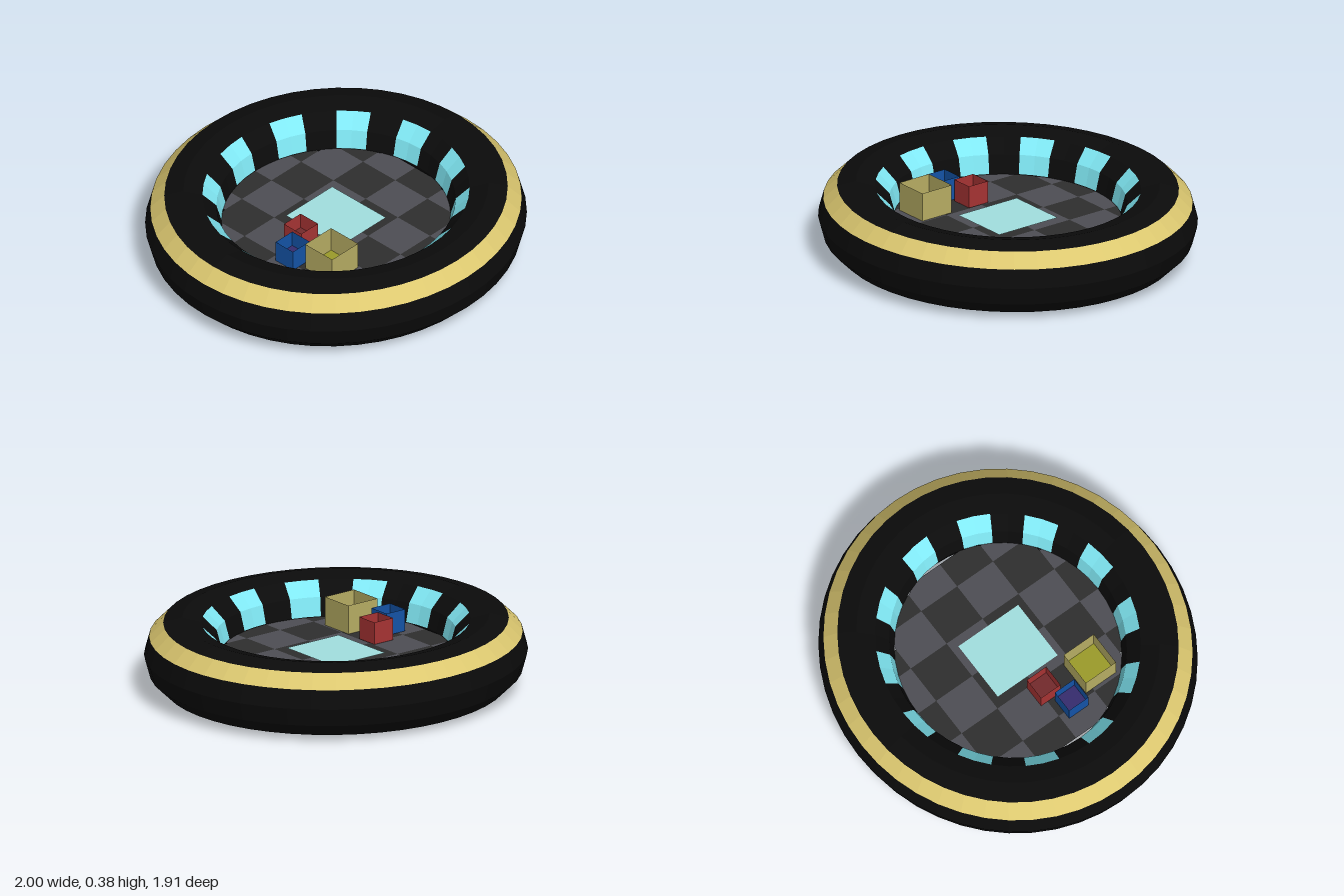
import * as THREE from 'three';
import { mergeGeometries } from 'three/addons/utils/BufferGeometryUtils.js';

const RING_R = 0.8, TUBE_R = 0.2, TUBE_H = 0.1925, Z_SCALE = 0.953;
const FLOOR_Y = 0.19, FLOOR_R = 0.6, TILE_X = 0.219, TILE_Z = 0.228;
const rad = THREE.MathUtils.degToRad;

const paint = (color) => new THREE.MeshStandardMaterial({ color, flatShading: true, side: THREE.DoubleSide });

function addMesh(parent, name, geometry, material) {
  const mesh = new THREE.Mesh(geometry, material);
  mesh.name = name;
  parent.add(mesh);
  return mesh;
}

// Part of the ring's surface: tube angles from..to, swept around the ring
function ringBand(from, to, start = 0, sweep = 360) {
  const profile = [];
  for (let a = from; a <= to; a += 30) {
    profile.push(new THREE.Vector2(RING_R + TUBE_R * Math.cos(rad(a)), TUBE_H * (1 + Math.sin(rad(a)))));
  }
  return new THREE.LatheGeometry(profile, sweep / 7.5, rad(start + 90), rad(sweep)).scale(1, 1, Z_SCALE);
}

// One floor tile, trimmed to the round opening of the ring
function floorTile(i, k) {
  const clamp = THREE.MathUtils.clamp;
  const x0 = clamp(i * TILE_X, -FLOOR_R, FLOOR_R), x1 = clamp((i + 1) * TILE_X, -FLOOR_R, FLOOR_R);
  const near = [], far = [];
  for (let s = 0; s <= 12; s++) {
    const x = x0 + (x1 - x0) * s / 12;
    const edge = Z_SCALE * Math.sqrt(Math.max(0, FLOOR_R ** 2 - x * x));
    const a = clamp(-(k + 1) * TILE_Z, -edge, edge), b = clamp(-k * TILE_Z, -edge, edge);
    if (b - a < 1e-4) continue;
    near.push(new THREE.Vector2(x, a));
    far.unshift(new THREE.Vector2(x, b));
  }
  if (near.length < 2) return null;
  return new THREE.ShapeGeometry(new THREE.Shape([...near, ...far])).rotateX(-Math.PI / 2);
}

// Open-topped square box with a coloured filling
function openBox(name, x, z, size, height, bottom, color, fillColor) {
  const box = new THREE.Group();
  box.name = name;
  box.position.set(x, bottom, z);
  const r = size / Math.SQRT2;
  const walls = new THREE.CylinderGeometry(r, r, height, 4, 1, true).rotateY(Math.PI / 4).translate(0, height / 2, 0);
  const base = new THREE.PlaneGeometry(size, size).rotateX(-Math.PI / 2);
  addMesh(box, 'walls', walls, paint(color));
  addMesh(box, 'base', base, paint(color));
  addMesh(box, 'filling', base.clone(), paint(fillColor)).position.y = 0.03;
  return box;
}

export function createModel() {
  const model = new THREE.Group();
  model.name = 'roundRoom';

  // Ring: dark shell and gold trim
  const black = paint(0x0b0b0b), gold = paint(0xdcc870), cyan = paint(0x80e8f4);
  const ring = new THREE.Group();
  ring.name = 'ring';
  model.add(ring);
  addMesh(ring, 'outerShell', ringBand(-180, 30), black);
  addMesh(ring, 'goldTrim', ringBand(30, 60), gold);
  addMesh(ring, 'topRim', ringBand(60, 120), black);

  // Inner wall: windows alternating with dark panels
  const windows = [], panels = [];
  for (let angle = 0; angle < 360; angle += 30) {
    windows.push(ringBand(120, 180, angle, 15));
    panels.push(ringBand(120, 180, angle + 15, 15));
  }
  addMesh(ring, 'windows', mergeGeometries(windows), cyan);
  addMesh(ring, 'wallPanels', mergeGeometries(panels), black);

  // Chequered floor
  const tiles = [[], []];
  for (let i = -3; i < 3; i++) {
    for (let k = -3; k < 3; k++) {
      const tile = floorTile(i, k);
      if (tile) tiles[Math.abs(i + k) % 2].push(tile);
    }
  }
  addMesh(model, 'darkTiles', mergeGeometries(tiles[0]), paint(0x2e2e2e)).position.y = FLOOR_Y;
  addMesh(model, 'lightTiles', mergeGeometries(tiles[1]), paint(0x4e4e54)).position.y = FLOOR_Y;

  // Pale mat in the middle
  const mat = new THREE.PlaneGeometry(0.34, 0.38).rotateX(-Math.PI / 2);
  addMesh(model, 'mat', mat, paint(0xa2e0e0)).position.y = FLOOR_Y + 0.006;

  // Storage boxes
  model.add(
    openBox('yellowBox', -0.325, 0.28, 0.19, 0.17, FLOOR_Y - 0.018, 0xb8ae64, 0x9c9c2a),
    openBox('redBox', -0.28, 0.02, 0.122, 0.118, FLOOR_Y + 0.003, 0xa83434, 0x742a2c),
    openBox('blueBox', -0.42, 0.095, 0.122, 0.118, FLOOR_Y + 0.003, 0x1454a8, 0x362c6e),
  );
  return model;
}
